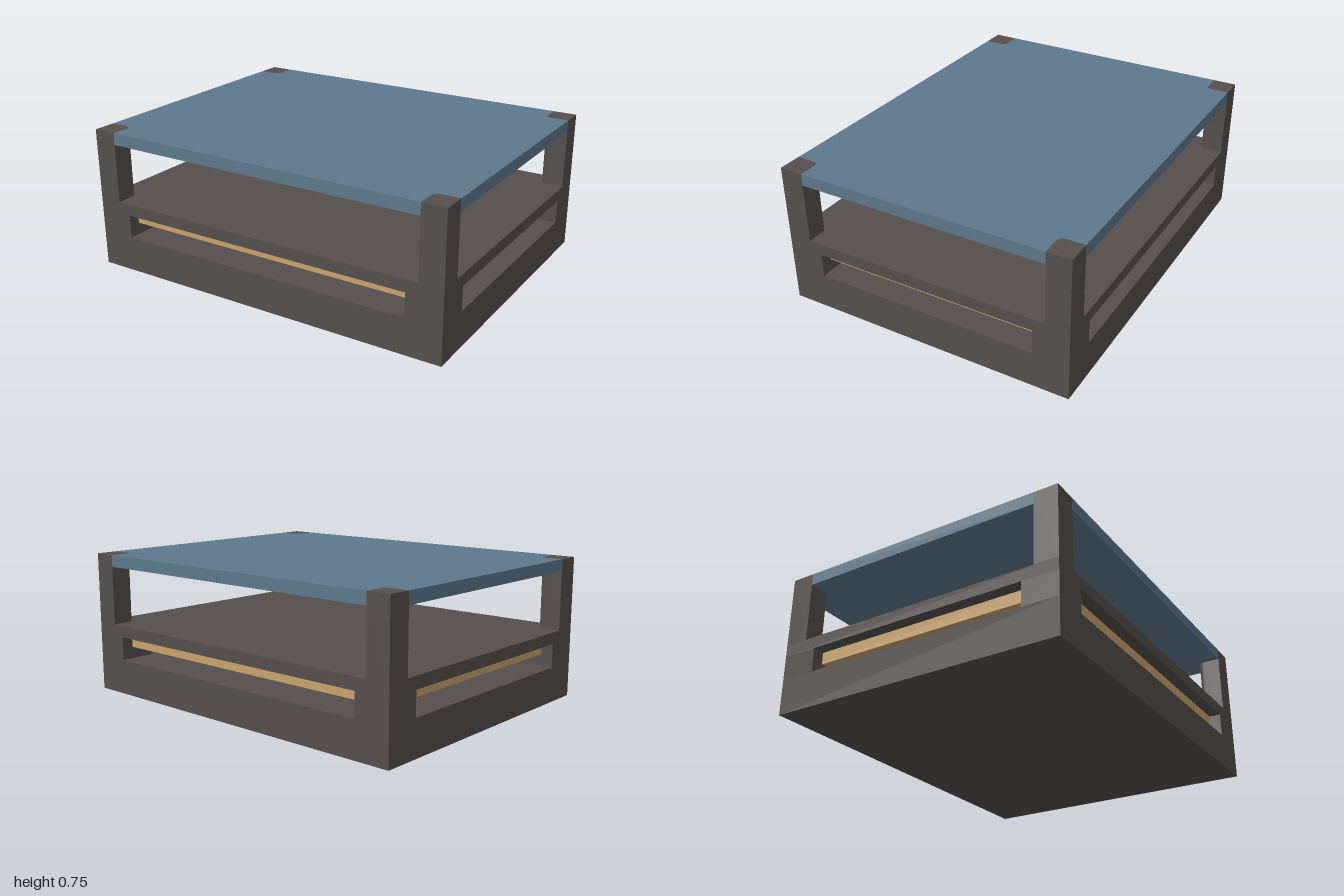
import * as THREE from 'three';

const W = 1, D = 0.78; // half width and half depth
const POST = 0.125, PILLAR = 0.1875, ROUND = 0.03;

export function createModel() {
  const model = new THREE.Group();
  model.name = 'layeredTable';
  const frameMat = new THREE.MeshStandardMaterial({ name: 'dark brown frame', color: 0x544f4c });
  const topMat = new THREE.MeshStandardMaterial({ name: 'slate blue top', color: 0x5d788c });
  const panelMat = new THREE.MeshStandardMaterial({ name: 'tan panel', color: 0xc9a36c });

  const add = (name, geometry, material) => {
    const mesh = new THREE.Mesh(geometry, material);
    mesh.name = name;
    model.add(mesh);
    return mesh;
  };
  // Box spanning y0..y1
  const slab = (name, w, d, y0, y1, material, x = 0, z = 0) =>
    add(name, new THREE.BoxGeometry(w, y1 - y0, d), material).position.set(x, (y0 + y1) / 2, z);
  // Plan outline raised from y0 to y1
  const raise = (name, points, y0, y1, material) => {
    const geometry = new THREE.ExtrudeGeometry(new THREE.Shape(points), { depth: y1 - y0, bevelEnabled: false });
    geometry.rotateX(-Math.PI / 2);
    add(name, geometry, material).position.y = y0;
  };
  // Rounded boundary between a corner post and the top, from the side edge to the front edge
  const notch = (sx, sz) => {
    const ix = W - POST, iz = D - POST;
    const points = [new THREE.Vector2(sx * W, sz * iz)];
    for (let i = 0; i <= 6; i++) {
      const a = (i / 6) * Math.PI / 2;
      points.push(new THREE.Vector2(
        sx * (ix + ROUND * (1 - Math.sin(a))),
        sz * (iz + ROUND * (1 - Math.cos(a)))));
    }
    points.push(new THREE.Vector2(sx * ix, sz * D));
    return points;
  };

  // Base, inner core, recessed panel and shelf
  slab('base', 2 * W, 2 * D, 0, 0.1875, frameMat);
  slab('core', 1.375, 0.935, 0.1875, 0.25, frameMat);
  slab('panel', 1.875, 2 * D - 0.125, 0.25, 0.3135, panelMat);
  slab('shelf', 2 * W, 2 * D, 0.3125, 0.375, frameMat);

  // Lower pillars and upper posts at the four corners
  for (const sx of [-1, 1]) for (const sz of [-1, 1]) {
    slab('pillar', PILLAR, PILLAR, 0.1875, 0.3125, frameMat, sx * (W - PILLAR / 2), sz * (D - PILLAR / 2));
    raise('post', [...notch(sx, sz), new THREE.Vector2(sx * W, sz * D)], 0.375, 0.75, frameMat);
  }

  // Top sheet, cut around the posts
  raise('top', [
    ...notch(1, 1), ...notch(-1, 1).reverse(),
    ...notch(-1, -1), ...notch(1, -1).reverse(),
  ], 0.6875, 0.75, topMat);

  return model;
}
